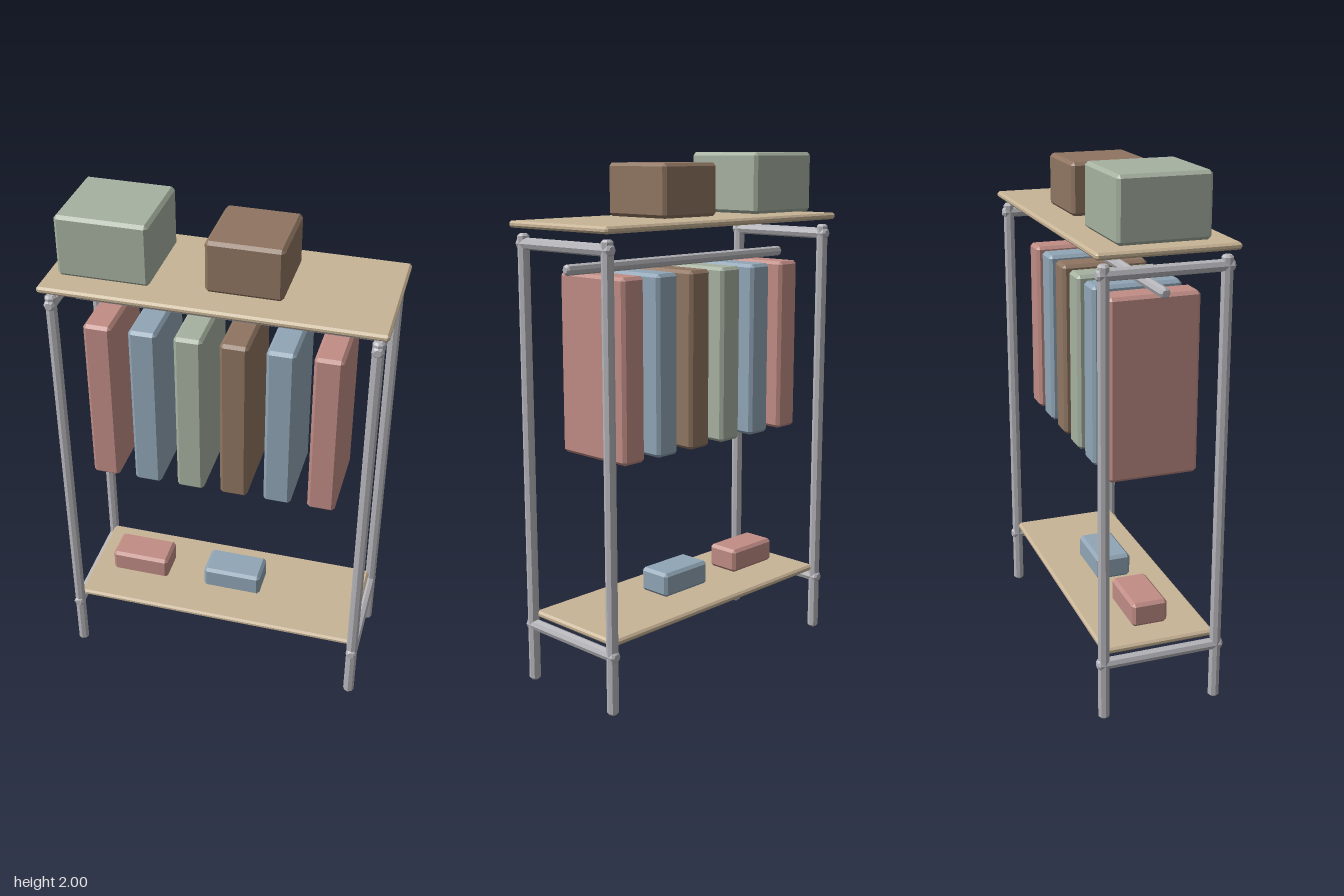
import * as THREE from 'three';
import { ConvexGeometry } from 'three/addons/geometries/ConvexGeometry.js';

const mat = (color) => new THREE.MeshStandardMaterial({ color, flatShading: true });
const METAL = mat(0xb4b4b9), WOOD = mat(0xc8b496);
const RED = mat(0xc08c85), BLUE = mat(0x90a5b6), GREEN = mat(0xa6b1a0), BROWN = mat(0x8f7561);

// Box with every edge chamfered by b, given by its centre and full size
function chamferBox(name, material, [x, y, z], [w, h, d], b) {
  const half = [w / 2, h / 2, d / 2], points = [];
  for (const sx of [-1, 1]) for (const sy of [-1, 1]) for (const sz of [-1, 1]) {
    for (let face = 0; face < 3; face++) {
      const p = half.map((v, i) => (i === face ? v : v - b));
      points.push(new THREE.Vector3(p[0] * sx, p[1] * sy, p[2] * sz));
    }
  }
  const mesh = new THREE.Mesh(new ConvexGeometry(points), material);
  mesh.position.set(x, y, z);
  mesh.name = name;
  return mesh;
}

// Eight-sided tube with chamfered ends, centred on the origin along y
function bar(name, length, r) {
  const h = length / 2, b = 0.008;
  const profile = [[0, -h], [r - b, -h], [r, -h + b], [r, h - b], [r - b, h], [0, h]];
  const geometry = new THREE.LatheGeometry(profile.map(([a, c]) => new THREE.Vector2(a, c)), 8);
  const mesh = new THREE.Mesh(geometry, METAL);
  mesh.name = name;
  return mesh;
}

export function createModel() {
  const model = new THREE.Group();
  model.name = 'clothesRack';

  // Metal frame: four posts, and a crossbar at the top and bottom of each end
  const frame = new THREE.Group();
  frame.name = 'frame';
  for (const [side, x] of [['right', -0.587], ['left', 0.587]]) {
    for (const [end, z] of [['Front', 0.222], ['Back', -0.222]]) {
      const post = bar(side + end + 'Post', 1.717, 0.022);
      post.position.set(x, 1.717 / 2, z);
      frame.add(post);
    }
    for (const [level, y] of [['Lower', 0.226], ['Upper', 1.681]]) {
      const cross = bar(side + level + 'Crossbar', 0.496, 0.022);
      cross.rotation.x = Math.PI / 2;
      cross.position.set(x, y, 0);
      frame.add(cross);
    }
  }
  const rail = bar('hangingRail', 1.17, 0.02);
  rail.rotation.z = Math.PI / 2;
  rail.position.y = 1.599;
  frame.add(rail);
  model.add(frame);

  // Shelves
  model.add(
    chamferBox('topShelf', WOOD, [0, 1.75, 0], [1.25, 0.025, 0.52], 0.008),
    chamferBox('bottomShelf', WOOD, [0, 0.266, 0], [1.16, 0.025, 0.44], 0.008),
  );

  // Row of hanging garments
  const garments = new THREE.Group();
  garments.name = 'garments';
  [RED, BLUE, GREEN, BROWN, BLUE, RED].forEach((material, i) => {
    const x = -0.445 + i * 0.1717;
    garments.add(chamferBox('garment' + (i + 1), material, [x, 1.236, 0], [0.107, 0.678, 0.34], 0.012));
  });
  model.add(garments);

  // Storage boxes on top, shoes below
  model.add(
    chamferBox('largeStorageBox', GREEN, [-0.405, 1.884, 0], [0.34, 0.232, 0.34], 0.012),
    chamferBox('smallStorageBox', BROWN, [0.1, 1.866, 0], [0.28, 0.196, 0.3], 0.012),
    chamferBox('rightShoes', RED, [-0.364, 0.336, 0], [0.24, 0.096, 0.14], 0.012),
    chamferBox('leftShoes', BLUE, [0.038, 0.336, 0], [0.24, 0.096, 0.14], 0.012),
  );
  return model;
}
